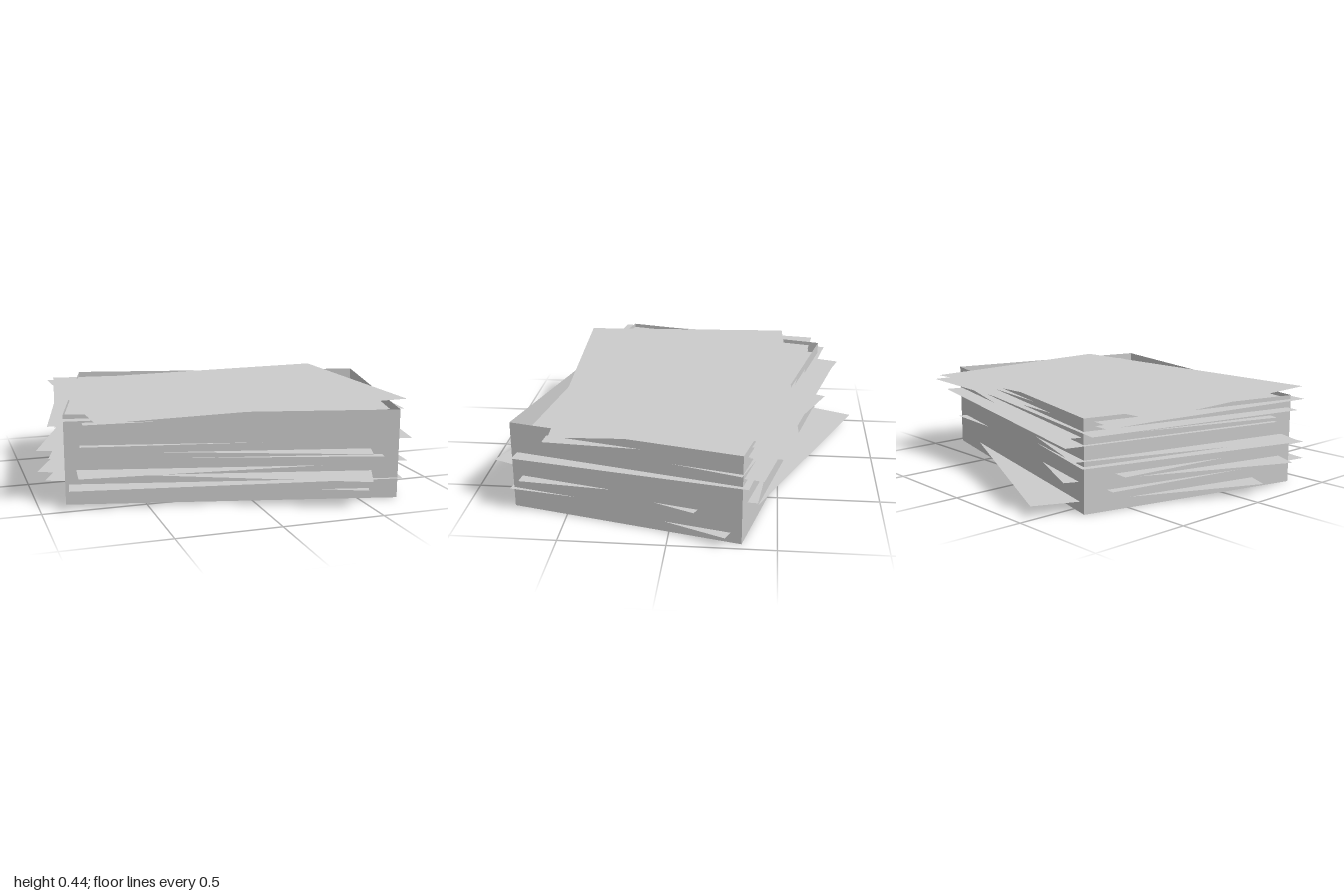
import * as THREE from 'three';

export function createModel() {
  const model = new THREE.Group();
  model.name = 'paperStack';
  const paper = new THREE.MeshStandardMaterial({ color: 0xcccccc, side: THREE.DoubleSide });
  paper.name = 'paper grey';

  const W = 1.604, D = 1.14, H = 0.44;

  // Open block of page edges: four upright walls without top or bottom
  const block = new THREE.Group();
  block.name = 'pageBlock';
  block.position.set(0.045, H / 2, 0.025);
  block.rotation.y = -THREE.MathUtils.degToRad(13.7);
  for (let i = 0; i < 4; i++) {
    const long = i % 2 === 0;
    const wall = new THREE.Mesh(new THREE.PlaneGeometry(long ? W : D, H), paper);
    wall.name = 'pageEdges';
    const a = i * Math.PI / 2, r = (long ? D : W) / 2;
    wall.rotation.y = a;
    wall.position.set(Math.sin(a) * r, 0, Math.cos(a) * r);
    block.add(wall);
  }
  model.add(block);

  // Loose sheets, each as height, turn in degrees, x, z
  const sheets = [
    [0.05, 24, 0.035, -0.07],
    [0.10, 10, 0.017, 0.086],
    [0.14, 24, -0.02, 0.075],
    [0.17, 6, 0.024, 0.076],
    [0.22, 16, -0.012, 0.02],
    [0.25, 20, -0.04, 0.03],
    [0.29, 11, 0.09, 0.04],
    [0.32, 14, 0.045, -0.073],
    [0.35, 18, 0.045, -0.04],
    [0.38, 12, -0.037, -0.035],
    [0.40, 4.5, 0.054, -0.04],
    [0.42, 8, -0.04, -0.01],
    [0.44, -2.7, 0.015, 0.022],
  ];
  const sheetGeometry = new THREE.PlaneGeometry(W, D).rotateX(-Math.PI / 2);
  for (const [y, turn, x, z] of sheets) {
    const sheet = new THREE.Mesh(sheetGeometry, paper);
    sheet.name = 'looseSheet';
    sheet.position.set(x, y, z);
    sheet.rotation.y = -THREE.MathUtils.degToRad(turn);
    model.add(sheet);
  }
  return model;
}
